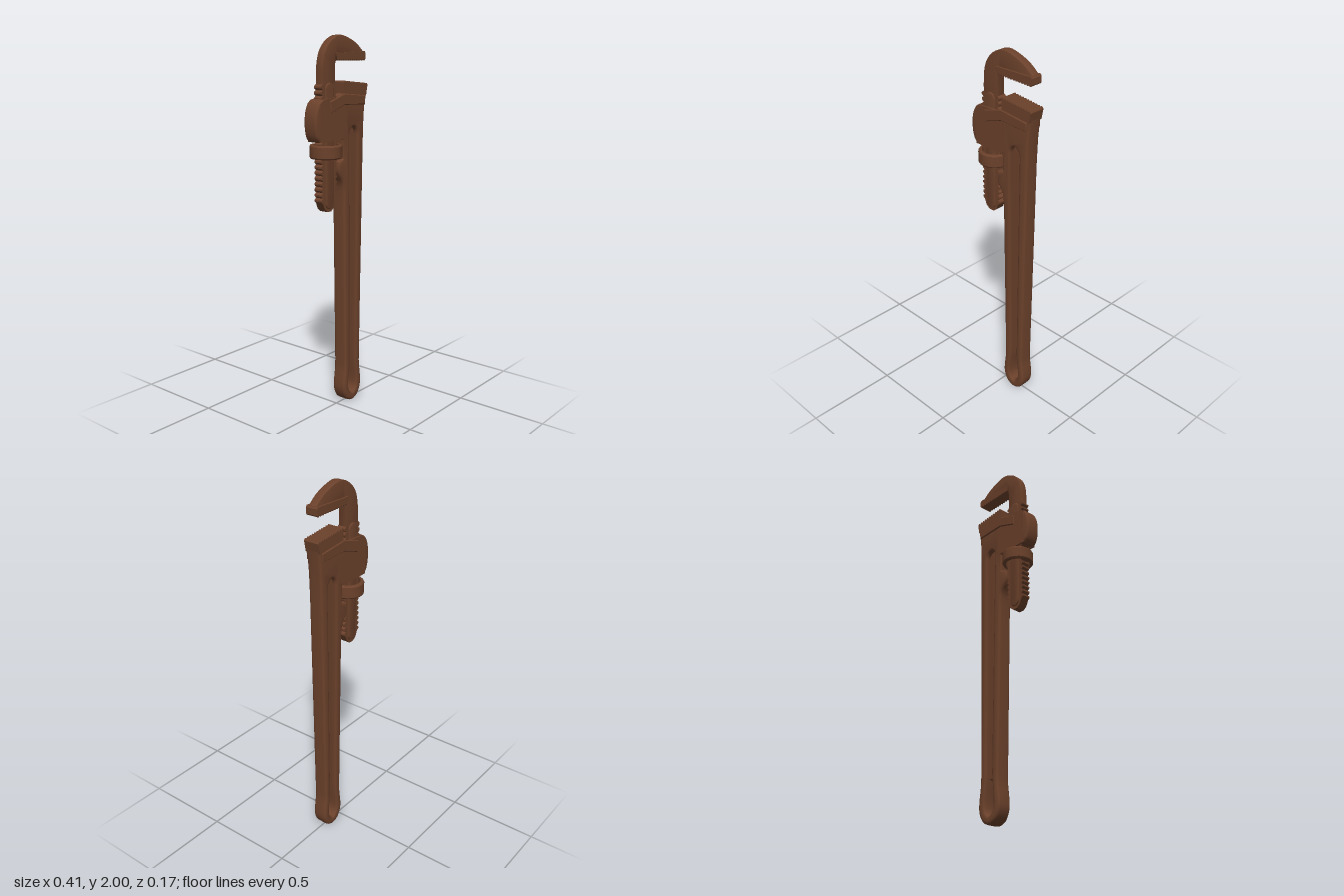
import * as THREE from 'three';
import { toCreasedNormals } from 'three/addons/utils/BufferGeometryUtils.js';

const V = (pts) => pts.map(([x, y]) => new THREE.Vector2(x, y));

// Solid of a side outline between z0 and z1, with rounded edges inside the outline
function slab(pts, z0, z1, bevel = 0, hole = null, segments = 4) {
  const shape = new THREE.Shape(V(pts));
  if (hole) shape.holes.push(new THREE.Path(V(hole)));
  const geo = new THREE.ExtrudeGeometry(shape, {
    depth: z1 - z0 - 2 * bevel,
    bevelEnabled: bevel > 0,
    bevelSize: bevel, bevelThickness: bevel, bevelOffset: -bevel, bevelSegments: segments,
  });
  geo.translate(0, 0, z0 + bevel);
  return toCreasedNormals(geo, 0.6);
}

// Smooth open curve through a few points
function smooth(pts, n) {
  const c = new THREE.CatmullRomCurve3(pts.map(([x, y]) => new THREE.Vector3(x, y, 0)));
  return c.getPoints(n).map((p) => [p.x, p.y]);
}

// Saw-tooth line from a to b; teeth stand out by (ox, oy)
function teeth(a, b, count, ox, oy) {
  const out = [];
  for (let i = 0; i < count; i++) {
    for (const [f, h] of [[0, 0], [0.35, 1], [0.65, 1]]) {
      const t = (i + f) / count;
      out.push([a[0] + (b[0] - a[0]) * t + ox * h, a[1] + (b[1] - a[1]) * t + oy * h]);
    }
  }
  out.push(b);
  return out;
}

export function createModel() {
  const group = new THREE.Group();
  const iron = new THREE.MeshStandardMaterial({ color: 0x6b412b });
  iron.name = 'brown iron';
  const add = (name, geo) => {
    const mesh = new THREE.Mesh(geo, iron);
    mesh.name = name;
    group.add(mesh);
    return mesh;
  };

  // Handle with hanging loop, rear spur and the solid side of the head
  const loop = smooth([[0.032, 0.25], [0.031, 0.2], [0.021, 0.115], [0.024, 0.065], [0.05, 0.018],
    [0.095, 0], [0.14, 0.018], [0.166, 0.065], [0.169, 0.115], [0.158, 0.2], [0.157, 0.25]], 30);
  const spur = smooth([[-0.025, 1.36], [-0.028, 1.32], [-0.015, 1.285], [0.008, 1.25], [0.016, 1.2], [0.018, 1.12]], 10);
  const bodyOutline = [[-0.02, 1.695], [-0.02, 1.485], [0.008, 1.472], [0.012, 1.375], ...spur,
    ...loop, [0.172, 1.1], [0.178, 1.45], [0.183, 1.58], [0.195, 1.71], [0.01, 1.71]];
  const eye = smooth([[0.075, 0.25], [0.07, 0.2], [0.062, 0.11], [0.07, 0.065], [0.095, 0.045],
    [0.12, 0.065], [0.128, 0.11], [0.12, 0.2], [0.116, 0.25]], 24);
  const grooveTop = smooth([[0.126, 1.49], [0.118, 1.52], [0.095, 1.535], [0.071, 1.52], [0.063, 1.49]], 8);
  add('handle', slab(bodyOutline, -0.042, 0.042, 0.015, [...eye, ...grooveTop]));

  // Thin web filling the long groove
  add('handleWeb', slab([[0.065, 0.23], [0.125, 0.23], [0.14, 1.55], [0.05, 1.55]], -0.016, 0.016));

  // Housing: rounded back wall and two cheeks around the sliding shank
  const back = smooth([[-0.148, 1.688], [-0.175, 1.675], [-0.196, 1.64], [-0.206, 1.59],
    [-0.203, 1.53], [-0.19, 1.49], [-0.175, 1.474]], 16);
  add('housingBack', slab([...back, [-0.148, 1.474]], -0.042, 0.042, 0.014));
  for (const s of [-1, 1]) {
    const cheek = [[-0.172, 1.668], [-0.15, 1.683], [-0.12, 1.69], [0.01, 1.695], [0.04, 1.6],
      [0.03, 1.485], [-0.02, 1.474], [-0.172, 1.474]];
    add('housingCheek', slab(cheek, s > 0 ? 0.033 : -0.043, s > 0 ? 0.043 : -0.033));
    // Slanted rib along the head
    const rib = [[-0.105, 1.675], [0.01, 1.71], [0.182, 1.692], [0.18, 1.645], [0.01, 1.652], [-0.1, 1.615]];
    add('headRib', slab(rib, s > 0 ? 0.036 : -0.05, s > 0 ? 0.05 : -0.036, 0.004, null, 1));
  }

  // Fixed lower jaw with teeth on top
  add('heelJaw', slab([...teeth([0.01, 1.765], [0.203, 1.745], 11, 0, 0.009),
    [0.192, 1.69], [0.01, 1.69]], -0.044, 0.044));

  // Hook jaw: curved arm running down into the shank
  const arc = smooth([[-0.135, 1.79], [-0.131, 1.86], [-0.113, 1.92], [-0.07, 1.97], [0, 2],
    [0.07, 1.988], [0.14, 1.958], [0.19, 1.92]], 28);
  add('hookJaw', slab([[-0.135, 1.45], ...arc, [0.195, 1.885], [-0.01, 1.885], [-0.028, 1.875],
    [-0.035, 1.855], [-0.035, 1.45]], -0.023, 0.023, 0.005, null, 2));
  add('hookJawTeeth', slab([[-0.04, 1.912], [0.19, 1.918], [0.196, 1.91],
    ...teeth([0.196, 1.878], [-0.035, 1.882], 13, 0, -0.007)], -0.034, 0.034));

  // Threaded shank with a raised rounded bar on both faces
  add('threadedShank', slab([
    ...teeth([-0.134, 1.76], [-0.134, 1.155], 21, -0.012, 0),
    [-0.122, 1.125], [-0.1, 1.108], [-0.07, 1.108], [-0.048, 1.125],
    ...teeth([-0.037, 1.155], [-0.037, 1.76], 21, 0.012, 0)], -0.024, 0.024));
  const bar = [];
  for (let i = 0; i <= 10; i++) {
    const a = Math.PI * i / 10;
    bar.push([-0.085 + 0.032 * Math.cos(a), 1.735 + 0.032 * Math.sin(a)]);
  }
  for (let i = 0; i <= 10; i++) {
    const a = Math.PI * (1 + i / 10);
    bar.push([-0.085 + 0.032 * Math.cos(a), 1.155 + 0.032 * Math.sin(a)]);
  }
  add('shankBar', slab(bar, -0.031, 0.031, 0.006, null, 2));

  // Adjusting nut: an open ring around the shank
  const ring = V([[0.066, -0.035], [0.079, -0.035], [0.084, -0.028], [0.084, 0.028], [0.079, 0.035],
    [0.066, 0.035], [0.066, -0.035]]);
  const nut = add('adjustingNut', toCreasedNormals(new THREE.LatheGeometry(ring, 20), 0.5));
  nut.position.set(-0.083, 1.42, 0);

  return group;
}
